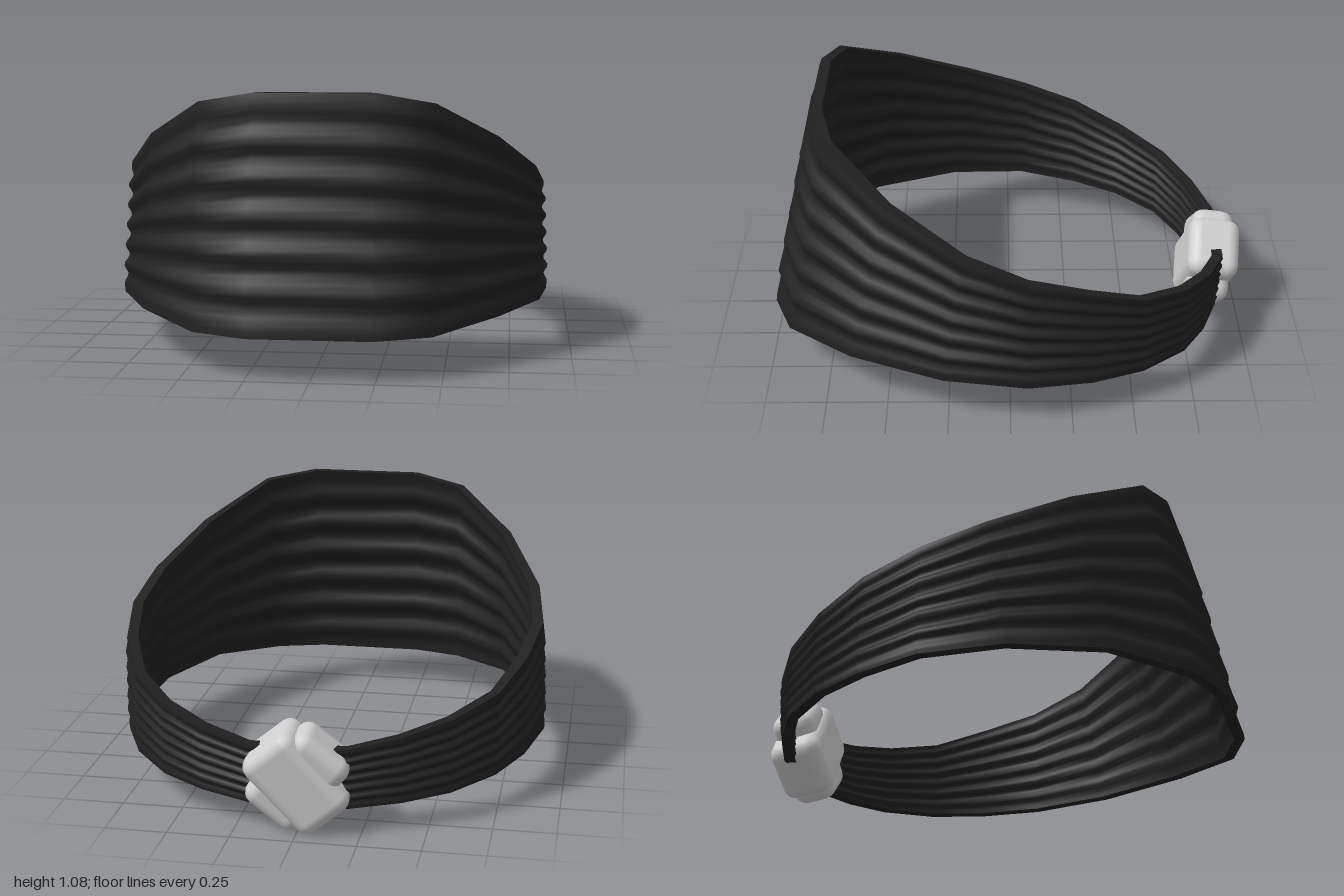
import * as THREE from 'three';
import { mergeGeometries } from 'three/addons/utils/BufferGeometryUtils.js';
import { RoundedBoxGeometry } from 'three/addons/geometries/RoundedBoxGeometry.js';

// Stations of one half, front to back: bottom edge x, y, z then top edge x, y, z
const HALF = [
  [0.24, 0.155, 1.0, 0.24, 1.07, 0.80],
  [0.46, 0.16, 0.92, 0.46, 1.03, 0.74],
  [0.71, 0.19, 0.645, 0.70, 0.88, 0.49],
  [0.87, 0.185, 0.27, 0.85, 0.73, 0.18],
  [0.905, 0.17, -0.07, 0.885, 0.64, -0.07],
  [0.84, 0.15, -0.33, 0.84, 0.565, -0.32],
  [0.74, 0.135, -0.54, 0.745, 0.48, -0.54],
  [0.58, 0.12, -0.72, 0.585, 0.425, -0.72],
  [0.40, 0.105, -0.82, 0.40, 0.38, -0.835],
  [0.20, 0.095, -0.89, 0.20, 0.345, -0.91],
  [0.10, 0.095, -0.89, 0.10, 0.345, -0.91],
];
const ROWS = 36, THICKNESS = 0.045;

// Ring order: right back end, around the front, to the left back end
const STATIONS = [
  ...HALF.map(([a, b, c, d, e, f]) => [-a, b, c, -d, e, f]).reverse(),
  ...HALF,
];

// Point on the cloth: t runs up the band, inset moves towards the inside
function clothPoint(station, t, inset) {
  const [ax, ay, az, bx, by, bz] = station;
  const x = ax + (bx - ax) * t, y = ay + (by - ay) * t, z = az + (bz - az) * t;
  const r = Math.hypot(x, z), angle = Math.atan2(x, z);
  // Horizontal folds that drift along the band and fade at its hems
  const phase = t * Math.PI * 13 + 0.9 * Math.sin(angle * 2.3 + 0.5);
  const depth = 0.014 * (by - ay + 0.2) * Math.min(1, 8 * t * (1 - t));
  const s = (r + depth * Math.sin(phase) - inset) / r;
  return [x * s, y, z * s];
}

// Surface between a list of point rows, facing (along the row) x (row to row)
function sheet(rows) {
  const n = rows[0].length, index = [];
  for (let j = 0; j < rows.length - 1; j++) {
    for (let i = 0; i < n - 1; i++) {
      const a = j * n + i, b = a + 1, c = a + n, d = c + 1;
      index.push(a, b, d, a, d, c);
    }
  }
  const g = new THREE.BufferGeometry();
  g.setAttribute('position', new THREE.Float32BufferAttribute(rows.flat(2), 3));
  g.setIndex(index);
  g.computeVertexNormals();
  return g;
}

function bandGeometry() {
  const row = (t, inset) => STATIONS.map((s) => clothPoint(s, t, inset));
  const wall = (inset) =>
    Array.from({ length: ROWS + 1 }, (_, j) => row(j / ROWS, inset));
  const outer = wall(0), inner = wall(THICKNESS);
  return mergeGeometries([
    sheet(outer),
    sheet([...inner].reverse()),
    sheet([outer[ROWS], inner[ROWS]]), // top hem
    sheet([inner[0], outer[0]]), // bottom hem
  ]);
}

export function createModel() {
  const black = new THREE.MeshStandardMaterial({ color: 0x202020 });
  black.name = 'black cloth';
  const silver = new THREE.MeshStandardMaterial({ color: 0xcfcfcf });
  silver.name = 'silver';

  const model = new THREE.Group();
  model.name = 'headband';

  const band = new THREE.Mesh(bandGeometry(), black);
  band.name = 'band';
  model.add(band);

  // Crossed clasp joining the band's ends, leaning with the cloth
  const clasp = new THREE.Group();
  clasp.name = 'clasp';
  clasp.position.set(0, 0.21, -0.867);
  clasp.rotation.x = -0.14;
  for (const [name, side, depth] of [['upperLoop', 1, 0.225], ['lowerLoop', -1, 0.185]]) {
    const loop = new THREE.Mesh(new RoundedBoxGeometry(0.4, 0.26, depth, 2, 0.055), silver);
    loop.name = name;
    loop.rotation.z = side * 0.86;
    clasp.add(loop);
  }
  model.add(clasp);

  return model;
}
